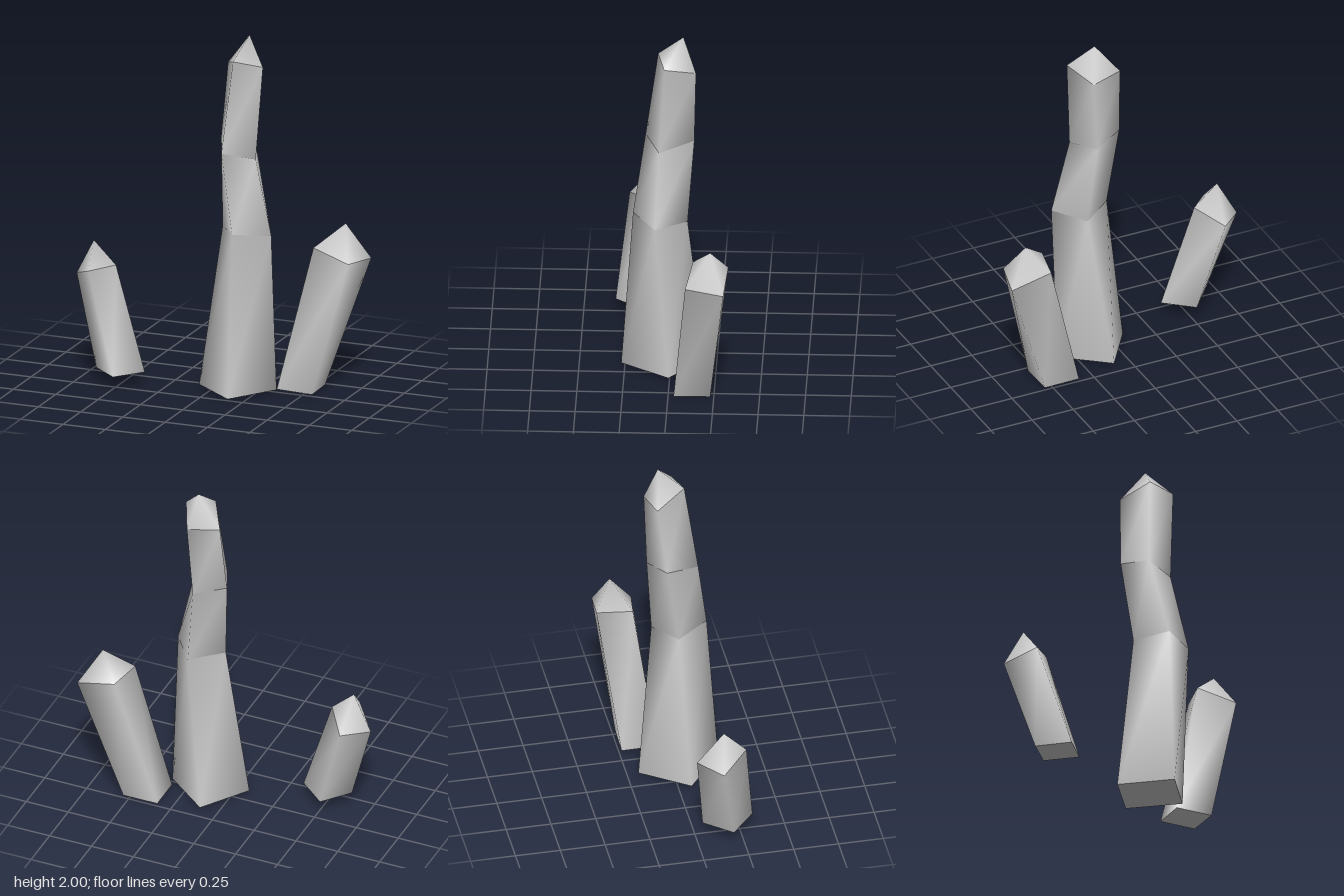
import * as THREE from 'three';

const material = new THREE.MeshStandardMaterial({ color: 0xcccccc });

function makeMesh(name, points, faces) {
  const geometry = new THREE.BufferGeometry();
  geometry.setAttribute('position', new THREE.Float32BufferAttribute(points.flat(), 3));
  geometry.setIndex(faces.flat());
  geometry.computeVertexNormals();
  const mesh = new THREE.Mesh(geometry, material);
  mesh.name = name;
  return mesh;
}

// A four-sided crystal: rings run from base to shoulder, each ordered left, front, right, back.
// Every band is smooth around its sides, with a crease where it meets the next one.
function makeCrystal(name, rings, apex) {
  const crystal = new THREE.Group();
  crystal.name = name;
  const n = rings[0].length;

  // underside
  crystal.add(makeMesh('base', rings[0], [[0, 3, 2], [0, 2, 1]]));

  // shaft bands
  for (let r = 0; r < rings.length - 1; r++) {
    const faces = [];
    for (let i = 0; i < n; i++) {
      const j = (i + 1) % n;
      faces.push([i, j, n + j], [i, n + j, n + i]);
    }
    crystal.add(makeMesh('shaft' + (r + 1), [...rings[r], ...rings[r + 1]], faces));
  }

  // pointed tip
  const tipFaces = [];
  for (let i = 0; i < n; i++) tipFaces.push([i, (i + 1) % n, n]);
  crystal.add(makeMesh('tip', [...rings[rings.length - 1], apex], tipFaces));
  return crystal;
}

export function createModel() {
  const model = new THREE.Group();
  model.name = 'crystalCluster';

  // tall bent crystal, twisting slightly as it rises
  model.add(makeCrystal('tallCrystal', [
    [[-0.08, 0.015, 0.07], [0.17, 0.015, 0.27], [0.35, 0.015, 0.005], [0.10, 0.015, -0.19]],
    [[0.04, 0.925, 0.025], [0.17, 0.935, 0.205], [0.35, 0.915, 0.08], [0.215, 0.905, -0.095]],
    [[0.0, 1.41, -0.05], [0.08, 1.37, 0.14], [0.25, 1.335, 0.06], [0.17, 1.375, -0.13]],
    [[0.02, 1.82, -0.10], [0.12, 1.88, 0.07], [0.28, 1.855, 0.03], [0.20, 1.80, -0.14]],
  ], [0.16, 2.0, -0.07]));

  // medium crystal leaning out to the left
  model.add(makeCrystal('mediumCrystal', [
    [[0.335, 0.005, -0.035], [0.545, 0, -0.03], [0.54, 0, -0.23], [0.335, 0.005, -0.235]],
    [[0.51, 0.805, -0.135], [0.73, 0.745, -0.10], [0.78, 0.73, -0.31], [0.55, 0.795, -0.33]],
  ], [0.66, 0.935, -0.235]));

  // small crystal leaning out to the right
  model.add(makeCrystal('smallCrystal', [
    [[-0.64, 0.08, 0.19], [-0.485, 0.08, 0.325], [-0.36, 0.08, 0.17], [-0.515, 0.08, 0.04]],
    [[-0.79, 0.58, 0.105], [-0.66, 0.645, 0.255], [-0.545, 0.66, 0.135], [-0.66, 0.595, -0.02]],
  ], [-0.68, 0.785, 0.125]));

  return model;
}
